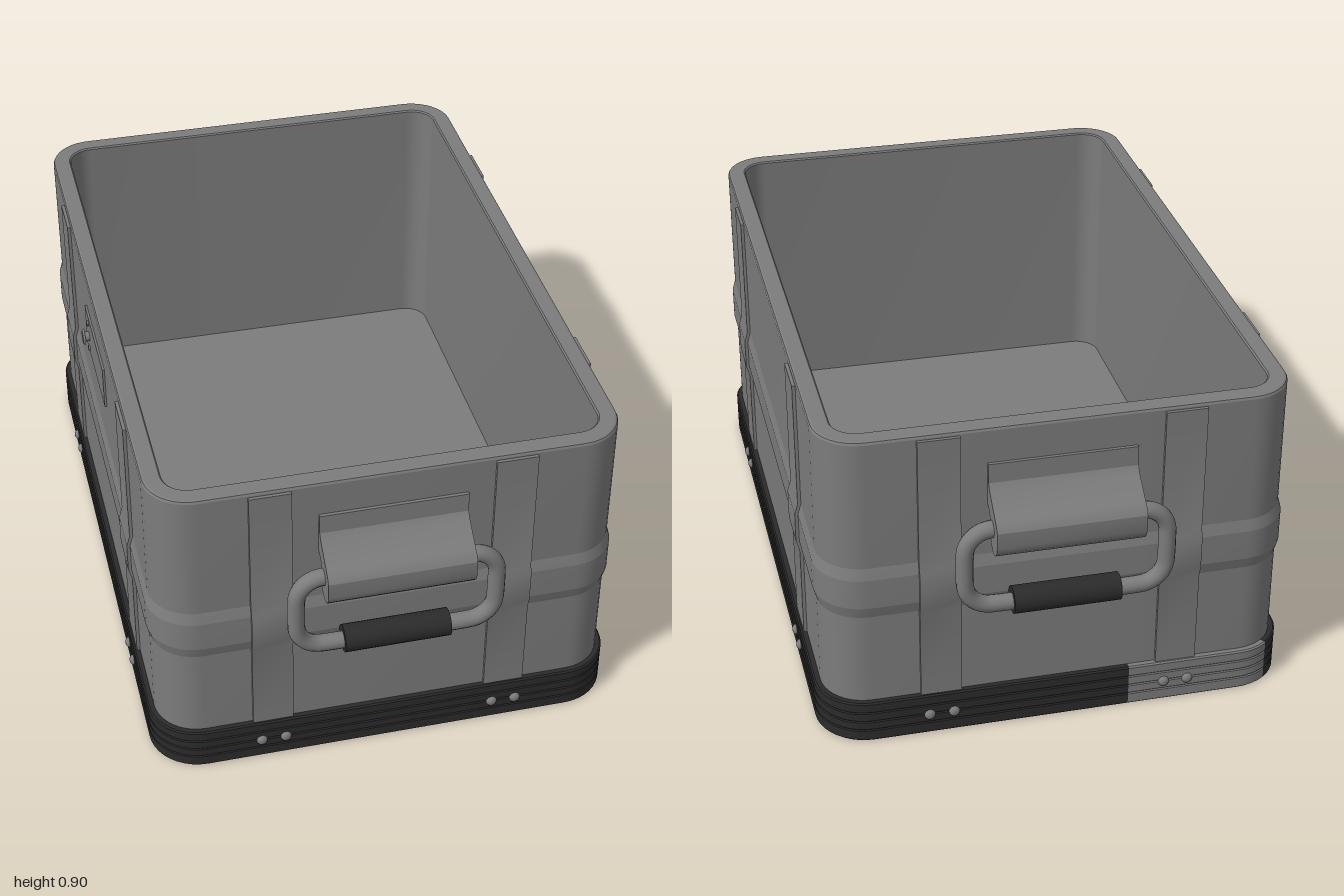
import * as THREE from 'three';
import { toCreasedNormals } from 'three/addons/utils/BufferGeometryUtils.js';

const HX = 0.622, HZ = 0.893, R = 0.12; // body half sizes and corner radius
const PATCH_START = -0.19, PATCH_END = -0.565;

// Rounded rectangle outline, offset outward by o
function outline(hx, hz, r, o = 0, steps = 10) {
  const pts = [];
  [[1, 1], [-1, 1], [-1, -1], [1, -1]].forEach(([sx, sz], q) => {
    for (let i = 0; i <= steps; i++) {
      const a = (q + i / steps) * Math.PI / 2;
      pts.push([sx * (hx - r) + (r + o) * Math.cos(a), sz * (hz - r) + (r + o) * Math.sin(a)]);
    }
  });
  return pts;
}

// Skin a profile of [offset, y] around the body outline
function loft(profile, { capStart = false, capEnd = false, keep = () => true } = {}) {
  const rings = profile.map(([o, y]) => {
    const ring = outline(HX, HZ, R, o);
    ring.splice(33, 0, [PATCH_START, -HZ - o]); // split on the back straight
    return ring.map(([x, z]) => [x, y, z]);
  });
  const pos = [], n = rings[0].length;
  const tri = (a, b, c) => pos.push(...a, ...b, ...c);
  for (let i = 0; i < n; i++) {
    const k = (i + 1) % n;
    const mx = (rings[0][i][0] + rings[0][k][0]) / 2, mz = (rings[0][i][2] + rings[0][k][2]) / 2;
    if (!keep(mx, mz)) continue;
    for (let j = 0; j + 1 < rings.length; j++) {
      const A = rings[j], B = rings[j + 1];
      tri(A[i], B[i], A[k]);
      tri(B[i], B[k], A[k]);
    }
    const first = rings[0], last = rings[rings.length - 1];
    if (capStart) tri([0, first[0][1], 0], first[i], first[k]);
    if (capEnd) tri([0, last[0][1], 0], last[k], last[i]);
  }
  const g = new THREE.BufferGeometry();
  g.setAttribute('position', new THREE.Float32BufferAttribute(pos, 3));
  return toCreasedNormals(g, 0.2);
}

// Extrude an (outward, y) section across a width, centred on z
function section(points, width) {
  const shape = new THREE.Shape(points.map(p => new THREE.Vector2(...p)));
  const g = new THREE.ExtrudeGeometry(shape, { depth: width, bevelEnabled: false });
  g.translate(0, 0, -width / 2);
  return toCreasedNormals(g, 0.5);
}

export function createModel() {
  const model = new THREE.Group();
  model.name = 'storageCrate';
  const mat = (name, color) => Object.assign(new THREE.MeshStandardMaterial({ color }), { name });
  const grey = mat('grey metal', 0x7c7c7c);
  const black = mat('black rubber', 0x2b2b2b);
  const add = (parent, name, geometry, material, x = 0, y = 0, z = 0) => {
    const m = new THREE.Mesh(geometry, material);
    m.name = name;
    m.position.set(x, y, z);
    parent.add(m);
    return m;
  };

  // Open shell with a raised belt, rounded rim, inner walls and floor
  const belt = [[0, 0.385], [0.009, 0.418], [0.009, 0.503], [0, 0.535]];
  add(model, 'shell', loft([
    [0, 0.012], ...belt, [0, 0.897], [-0.003, 0.903], [-0.008, 0.905],
    [-0.048, 0.905], [-0.052, 0.901], [-0.052, 0.15],
  ], { capStart: true, capEnd: true }), grey);

  // Ribbed base band, with one grey length at the back
  const ribs = [0.035, 0.062, 0.09].flatMap(y => [[0.017, y - 0.003], [0.0145, y], [0.017, y + 0.003]]);
  const band = [[-0.002, 0.012], [-0.002, 0], [0.013, 0], [0.017, 0.004], ...ribs,
    [0.017, 0.117], [0.013, 0.121], [-0.002, 0.121]];
  const inPatch = (x, z) => z < -0.8 && x < PATCH_START && x > PATCH_END;
  add(model, 'baseBand', loft(band, { keep: (x, z) => !inPatch(x, z) }), black);
  add(model, 'baseBandPatch', loft(band, { keep: inPatch }), grey);

  // Fittings repeated on each face: strips and rivets
  const strip = (d, width) => {
    const line = [[0, 0.115], ...belt, [0, 0.893]];
    return section([...line.map(([o, y]) => [d + o + 0.009, y]),
      ...line.map(([o, y]) => [d + o - 0.004, y]).reverse()], width);
  };
  const rivet = new THREE.SphereGeometry(0.015, 14, 10);
  rivet.scale(0.75, 1, 1);
  const faces = [
    { name: 'right', turn: 0, d: HX, at: 0.492, width: 0.125, rivets: [0.453, 0.526] },
    { name: 'left', turn: Math.PI, d: HX, at: 0.492, width: 0.125, rivets: [0.453, 0.526] },
    { name: 'front', turn: -Math.PI / 2, d: HZ, at: 0.32, width: 0.11, rivets: [0.288, 0.354] },
    { name: 'back', turn: Math.PI / 2, d: HZ, at: 0.32, width: 0.11, rivets: [0.288, 0.354] },
  ];
  for (const f of faces) {
    const side = new THREE.Group();
    side.name = f.name + 'Fittings';
    side.rotation.y = f.turn;
    model.add(side);
    for (const s of [-1, 1]) {
      add(side, 'strip', strip(f.d, f.width), grey, 0, 0, s * f.at);
      for (const r of f.rivets) add(side, 'rivet', rivet, grey, f.d + 0.017, 0.06, s * r);
    }
  }

  // Carrying handles on the front and back
  const loop = outline(0.266, 0.1135, 0.07, 0, 8).map(([x, y]) => new THREE.Vector3(x, y + 0.529, 0.945));
  const ring = new THREE.TubeGeometry(new THREE.CatmullRomCurve3(loop, true), 120, 0.023, 14, true);
  const grip = new THREE.CylinderGeometry(0.037, 0.037, 0.284, 24);
  grip.rotateZ(Math.PI / 2);
  // Sloping hood that rolls around the top of the loop
  const hood = section([
    [0.89, 0.805], [0.902, 0.805], [0.904, 0.752], [0.915, 0.735], [0.975, 0.688], [0.99, 0.677],
    [1, 0.66], [1, 0.615], [0.994, 0.597], [0.982, 0.584], [0.965, 0.578], [0.947, 0.581],
    [0.932, 0.592], [0.924, 0.61], [0.922, 0.655], [0.915, 0.672], [0.89, 0.69],
  ], 0.39);
  hood.rotateY(-Math.PI / 2);
  for (const [name, turn] of [['frontHandle', 0], ['backHandle', Math.PI]]) {
    const handle = new THREE.Group();
    handle.name = name;
    handle.rotation.y = turn;
    model.add(handle);
    add(handle, 'hood', hood, grey);
    add(handle, 'handleLoop', ring, grey);
    add(handle, 'grip', grip, black, 0, 0.417, 0.943);
  }

  // Latch plate with a small knob and screws on the -x side
  const latch = new THREE.Group();
  latch.name = 'latch';
  model.add(latch);
  add(latch, 'latchPlate', new THREE.BoxGeometry(0.008, 0.125, 0.32), grey, -HX - 0.002, 0.745, 0.01);
  const disc = (r1, r2, h) => new THREE.CylinderGeometry(r1, r2, h, 18).rotateZ(Math.PI / 2);
  add(latch, 'knobStem', disc(0.014, 0.014, 0.018), grey, -HX - 0.012, 0.742, -0.09);
  add(latch, 'knobHead', disc(0.018, 0.024, 0.006), grey, -HX - 0.022, 0.742, -0.09);
  for (const y of [0.702, 0.786])
    add(latch, 'screw', disc(0.008, 0.008, 0.006), grey, -HX - 0.008, y, -0.09);

  return model;
}
